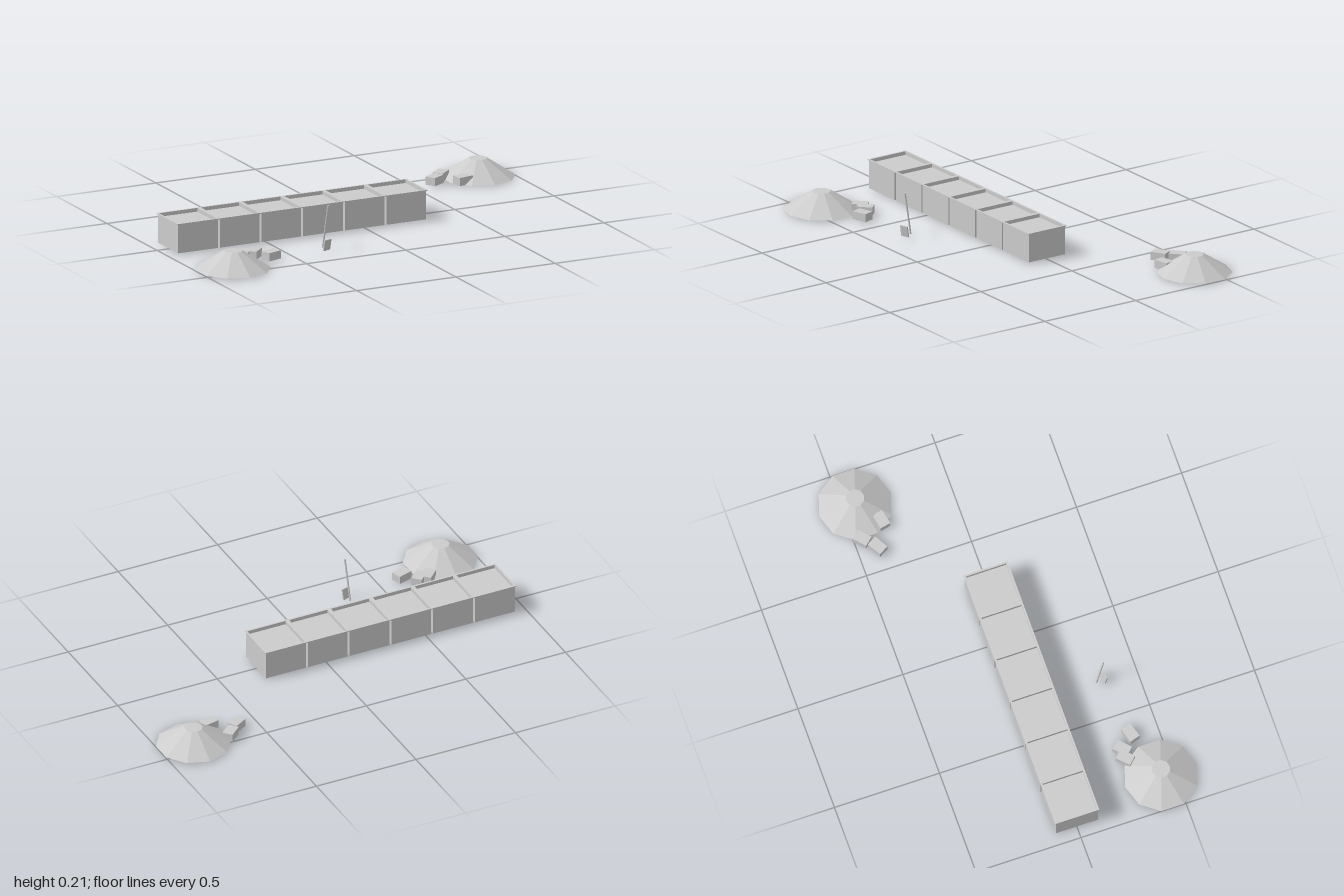
import * as THREE from 'three';

export function createModel() {
  const model = new THREE.Group();
  const grey = new THREE.MeshStandardMaterial({ color: 0xcccccc });
  grey.name = 'lightGrey';
  grey.flatShading = true;
  const base = 0.006;

  function add(parent, name, geometry, x = 0, y = 0, z = 0) {
    const mesh = new THREE.Mesh(geometry, grey);
    mesh.name = name;
    mesh.position.set(x, y, z);
    parent.add(mesh);
    return mesh;
  }

  // Square frame lying flat, with its bottom at y = 0
  function frame(outer, inner, height) {
    const square = (Type, s) => new Type([
      new THREE.Vector2(-s, -s), new THREE.Vector2(s, -s),
      new THREE.Vector2(s, s), new THREE.Vector2(-s, s)]);
    const shape = square(THREE.Shape, outer / 2);
    shape.holes.push(square(THREE.Path, inner / 2));
    return new THREE.ExtrudeGeometry(shape, { depth: height, bevelEnabled: false })
      .rotateX(-Math.PI / 2);
  }

  // Row of filled containers with a thin overhanging lip
  const pitch = 0.21, fillTop = 0.127, lipBase = 0.14;
  const fillGeo = new THREE.BoxGeometry(0.2, fillTop - base, 0.2);
  const wallGeo = frame(0.2, 0.192, lipBase - fillTop);
  const lipGeo = frame(0.21, 0.192, 0.004);
  for (let i = 0; i < 6; i++) {
    const container = new THREE.Group();
    container.name = 'container' + (i + 1);
    container.position.x = -0.845 + i * pitch;
    add(container, 'filledBody', fillGeo, 0, (fillTop + base) / 2, 0);
    add(container, 'upperWall', wallGeo, 0, fillTop, 0);
    add(container, 'lip', lipGeo, 0, lipBase, 0);
    model.add(container);
  }

  // Two flat-topped mounds
  const moundGeo = new THREE.CylinderGeometry(0.042, 0.171, 0.085, 10);
  for (const s of [-1, 1]) add(model, 'mound', moundGeo, s * 0.838, base + 0.0425, -s * 0.437);

  // Loose blocks beside the mounds: x, z, turn
  const blockGeo = new THREE.BoxGeometry(0.073, 0.038, 0.05);
  const blocks = [
    [-0.715, 0.31, 0.78], [-0.67, 0.312, 0.74], [-0.612, 0.37, 0.3],
    [0.607, -0.41, 0.53], [0.665, -0.465, 0.72], [0.72, -0.353, 0.2],
  ];
  for (const [x, z, turn] of blocks)
    add(model, 'block', blockGeo, x, base + 0.019, z).rotation.y = turn;

  // Leaning shovel: shaft between two points and a thin blade
  const shovel = new THREE.Group();
  shovel.name = 'shovel';
  const foot = new THREE.Vector3(-0.322, 0.007, 0.309);
  const grip = new THREE.Vector3(-0.313, 0.211, 0.346);
  const along = grip.clone().sub(foot);
  const mid = foot.clone().add(grip).multiplyScalar(0.5);
  const shaft = add(shovel, 'shaft', new THREE.CylinderGeometry(0.004, 0.004, along.length(), 6),
    mid.x, mid.y, mid.z);
  shaft.quaternion.setFromUnitVectors(new THREE.Vector3(0, 1, 0), along.normalize());
  const blade = add(shovel, 'blade', new THREE.BoxGeometry(0.04, 0.052, 0.007), -0.318, 0.028, 0.345);
  blade.rotation.set(0.18, 0.3, 0, 'YXZ');
  model.add(shovel);

  return model;
}
